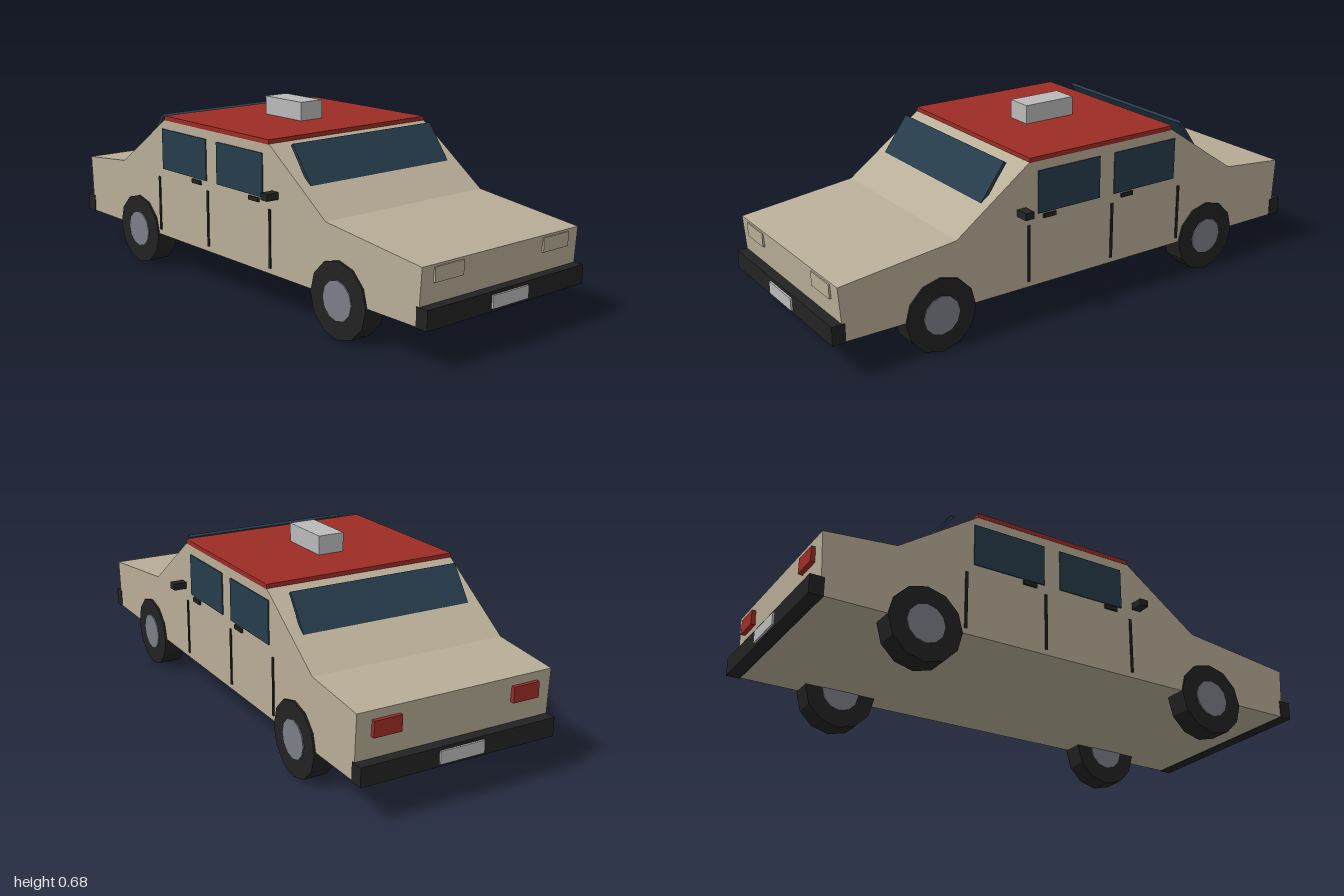
import * as THREE from 'three';

const mat = (name, color) => {
  const m = new THREE.MeshStandardMaterial({ color, flatShading: true });
  m.name = name;
  return m;
};

export function createModel() {
  const car = new THREE.Group();
  car.name = 'saloonCar';
  const beige = mat('beigePaint', 0xb8ad97);
  const red = mat('redPaint', 0x9c2c24);
  const glass = mat('darkGlass', 0x263c4b);
  const black = mat('blackTrim', 0x222222);
  const grey = mat('lightGrey', 0xbababa);
  const hubGrey = mat('hubGrey', 0x7c7e86);

  const add = (name, geometry, material) => {
    const mesh = new THREE.Mesh(geometry, material);
    mesh.name = name;
    car.add(mesh);
    return mesh;
  };
  // box given by its limits on each axis
  const box = (name, material, [x0, x1], [y0, y1], [z0, z1]) => {
    const mesh = add(name, new THREE.BoxGeometry(x1 - x0, y1 - y0, z1 - z0), material);
    mesh.position.set((x0 + x1) / 2, (y0 + y1) / 2, (z0 + z1) / 2);
    return mesh;
  };
  const pair = (name, material, [x0, x1], y, z) => {
    box('left' + name, material, [x0, x1], y, z);
    box('right' + name, material, [-x1, -x0], y, z);
  };

  // body: side profile (z, y) extruded across the width
  const profile = [
    [0.952, 0.14], [0.965, 0.332], [0.528, 0.384], [0.235, 0.596],
    [-0.4, 0.596], [-0.7, 0.392], [-0.962, 0.367], [-0.95, 0.14],
  ];
  const shape = new THREE.Shape(profile.map(([z, y]) => new THREE.Vector2(-z, y)));
  const body = new THREE.ExtrudeGeometry(shape, { depth: 0.74, bevelEnabled: false });
  body.translate(0, 0, -0.37).rotateY(Math.PI / 2);
  add('body', body, beige);

  // roof panel and roof sign
  box('roof', red, [-0.371, 0.371], [0.594, 0.611], [-0.4, 0.235]);
  box('roofSign', grey, [-0.05, 0.05], [0.611, 0.68], [-0.19, 0.02]);

  // sloping screens, steeper than the pillars
  const screen = (name, zTop, zBottom) => {
    const dz = zBottom - zTop, dy = 0.13;
    const mesh = add(name, new THREE.BoxGeometry(0.654, Math.hypot(dz, dy), 0.012), glass);
    mesh.position.set(0, 0.534, (zTop + zBottom) / 2);
    mesh.rotation.x = -Math.atan2(dz, dy);
  };
  screen('windscreen', 0.304, 0.4);
  screen('rearScreen', -0.478, -0.57);

  // side windows, handles, door gaps and mirrors
  const skin = [0.366, 0.374];
  pair('FrontWindow', glass, skin, [0.405, 0.56], [-0.067, 0.2]);
  pair('RearWindow', glass, skin, [0.405, 0.56], [-0.415, -0.132]);
  for (const z of [0.152, -0.192])
    pair('DoorHandle', black, [0.366, 0.377], [0.385, 0.4], [z - 0.027, z + 0.027]);
  for (const z of [0.238, -0.126, -0.442])
    pair('DoorGap', black, skin, [0.16, 0.37], [z - 0.005, z + 0.005]);
  pair('Mirror', black, [0.366, 0.42], [0.413, 0.438], [0.25, 0.286]);

  // bumpers, number plates and lamps
  box('frontBumper', black, [-0.372, 0.372], [0.138, 0.205], [0.945, 0.993]);
  box('rearBumper', black, [-0.372, 0.372], [0.138, 0.205], [-0.993, -0.942]);
  box('frontPlate', grey, [-0.085, 0.085], [0.148, 0.193], [0.992, 1]);
  box('rearPlate', grey, [-0.085, 0.085], [0.148, 0.193], [-1, -0.992]);
  pair('Headlamp', beige, [0.19, 0.317], [0.274, 0.324], [0.94, 0.969]);
  pair('TailLamp', red, [0.213, 0.315], [0.28, 0.336], [-0.974, -0.94]);

  // twelve-sided wheels with slightly proud hubs
  const tyre = new THREE.CylinderGeometry(0.135, 0.135, 0.084, 12).rotateZ(Math.PI / 2);
  const hub = new THREE.CylinderGeometry(0.07, 0.07, 0.092, 12).rotateZ(Math.PI / 2);
  for (const [end, z] of [['front', 0.595], ['rear', -0.59]])
    for (const [side, x] of [['Left', 0.335], ['Right', -0.335]]) {
      add(end + side + 'Tyre', tyre, black).position.set(x, 0.135, z);
      add(end + side + 'Hub', hub, hubGrey).position.set(x, 0.135, z);
    }
  return car;
}
